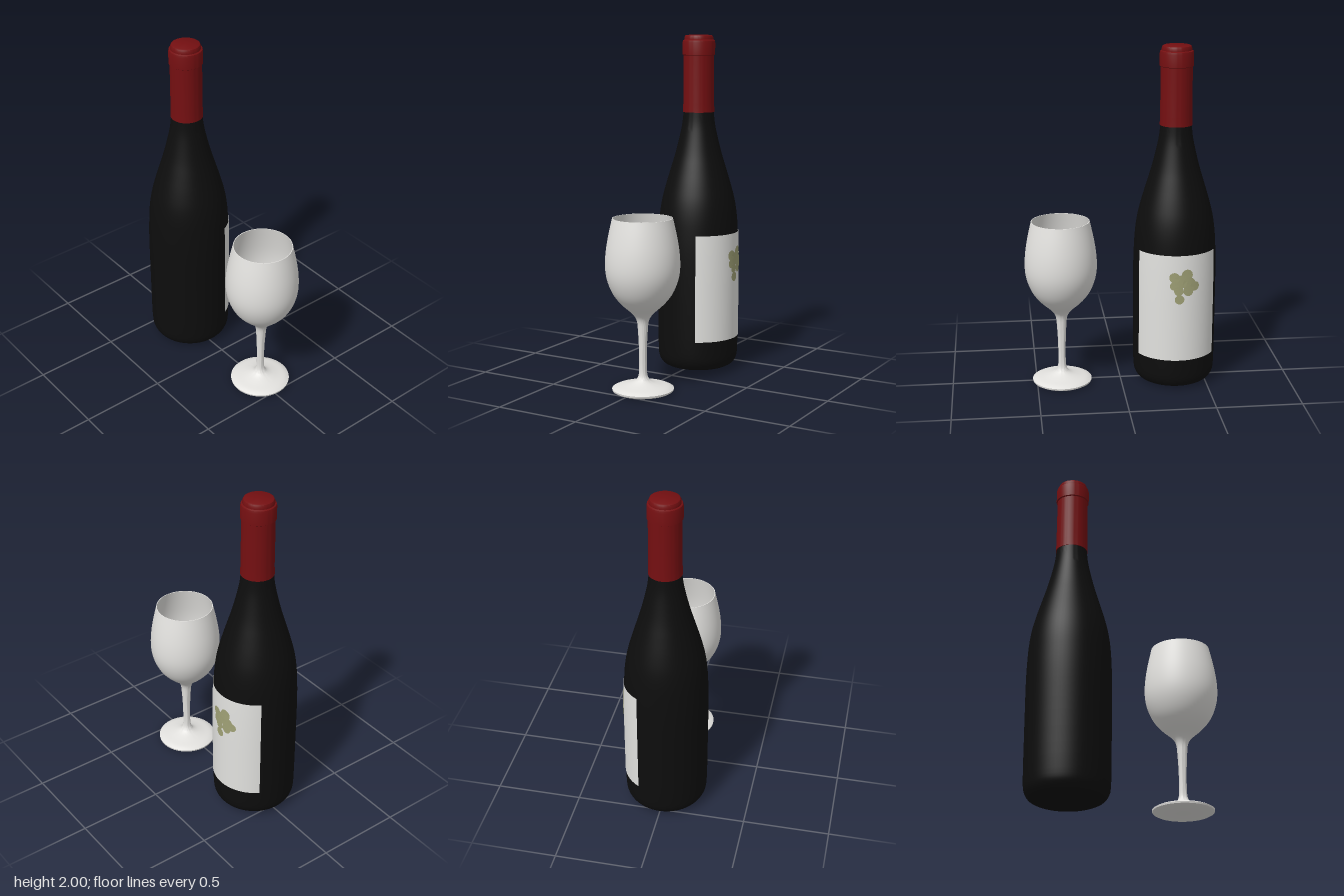
import * as THREE from 'three';
import { toCreasedNormals, mergeGeometries } from 'three/addons/utils/BufferGeometryUtils.js';

const mat = (name, color, side = THREE.FrontSide) => {
  const m = new THREE.MeshStandardMaterial({ color, side });
  m.name = name;
  return m;
};
const rad = THREE.MathUtils.degToRad;
const vec = (pts) => pts.map(([r, y]) => new THREE.Vector2(r, y));
const smooth = (pts, n) => new THREE.SplineCurve(vec(pts)).getPoints(n);

// Revolved part with sharp edges kept
function turned(name, points, material, segments = 64) {
  const geo = toCreasedNormals(new THREE.LatheGeometry(points, segments), 0.6);
  const mesh = new THREE.Mesh(geo, material);
  mesh.name = name;
  return mesh;
}

export function createModel() {
  const darkGlass = mat('dark bottle glass', 0x0d0d0d);
  const foil = mat('dark red foil', 0x740f11);
  const paper = mat('label paper', 0xe2e2df, THREE.DoubleSide);
  const olive = mat('olive print', 0xa0a176, THREE.DoubleSide);
  const paleGlass = mat('pale glass', 0xe2e1de);
  const wineRed = mat('red wine', 0xdc0e0e);

  const model = new THREE.Group();
  model.name = 'bottleAndGlass';

  // Bottle: rounded foot, straight body, sloping shoulder, neck
  const bottle = new THREE.Group();
  bottle.name = 'bottle';
  bottle.position.x = -0.322;
  const body = [
    ...vec([[0, 0], [0.16, 0]]),
    ...smooth([[0.185, 0.005], [0.215, 0.022], [0.236, 0.06], [0.241, 0.12]], 12),
    ...smooth([[0.242, 0.2], [0.243, 0.5], [0.243, 0.7], [0.239, 0.83], [0.232, 0.93], [0.218, 1.02],
      [0.195, 1.11], [0.165, 1.21], [0.138, 1.3], [0.113, 1.4], [0.097, 1.48], [0.089, 1.56]], 40),
  ];
  bottle.add(turned('bottleBody', body, darkGlass));

  // Foil capsule with a raised collar and a small top disc
  bottle.add(turned('foilCapsule', vec([
    [0.085, 1.545], [0.094, 1.545], [0.092, 1.6], [0.091, 1.88], [0.097, 1.884], [0.097, 1.955],
    [0.094, 1.968], [0.086, 1.972], [0.086, 1.985], [0.081, 1.996], [0.074, 2], [0, 2],
  ]), foil));

  // Paper label wrapped round the back
  const label = new THREE.Mesh(new THREE.LatheGeometry(
    vec([[0.245, 0.19], [0.246, 0.5], [0.246, 0.7], [0.2425, 0.83]]), 40, rad(115), rad(125)), paper);
  label.name = 'label';
  bottle.add(label);

  // Printed grape cluster: discs bent round the label [degrees, height, radius]
  const R = 0.2485;
  const grapes = [
    [-8, 0.7, 0.031], [9, 0.715, 0.034], [0, 0.675, 0.04], [12, 0.66, 0.04], [20, 0.645, 0.028],
    [11, 0.618, 0.03], [-2, 0.62, 0.028], [-1, 0.568, 0.028], [-8, 0.65, 0.026],
  ].map(([deg, y, r]) => {
    const g = new THREE.CircleGeometry(r, 20);
    const p = g.attributes.position;
    for (let i = 0; i < p.count; i++) {
      const a = Math.PI + rad(deg) + p.getX(i) / R;
      p.setXYZ(i, R * Math.sin(a), y + p.getY(i), R * Math.cos(a));
    }
    g.computeVertexNormals();
    return g;
  });
  const print = new THREE.Mesh(mergeGeometries(grapes), olive);
  print.name = 'grapePrint';
  bottle.add(print);
  model.add(bottle);

  // Wine glass: foot, stem and thin-walled bowl in one profile
  const glass = new THREE.Group();
  glass.name = 'wineGlass';
  glass.position.set(0.35, 0, -0.017);
  const outer = smooth([
    [0.176, 0.018], [0.15, 0.03], [0.1, 0.041], [0.055, 0.056], [0.03, 0.08], [0.022, 0.13],
    [0.023, 0.25], [0.028, 0.35], [0.035, 0.41], [0.06, 0.45], [0.115, 0.5], [0.158, 0.55],
    [0.187, 0.605], [0.205, 0.665], [0.211, 0.73], [0.206, 0.81], [0.191, 0.9], [0.17, 0.994]], 64);
  const inner = smooth([
    [0.166, 0.994], [0.186, 0.9], [0.201, 0.81], [0.206, 0.73], [0.2, 0.665], [0.181, 0.605],
    [0.152, 0.555], [0.108, 0.508], [0.05, 0.465], [0, 0.45]], 30);
  glass.add(turned('glassShell',
    [...vec([[0, 0], [0.16, 0], [0.174, 0.008]]), ...outer, ...inner], paleGlass));

  // Wine filling the lower bowl
  glass.add(turned('wine', vec([
    [0, 0.46], [0.046, 0.472], [0.1, 0.512], [0.146, 0.562], [0.176, 0.612], [0.196, 0.668],
    [0.202, 0.71], [0, 0.71]]), wineRed));
  model.add(glass);

  return model;
}
